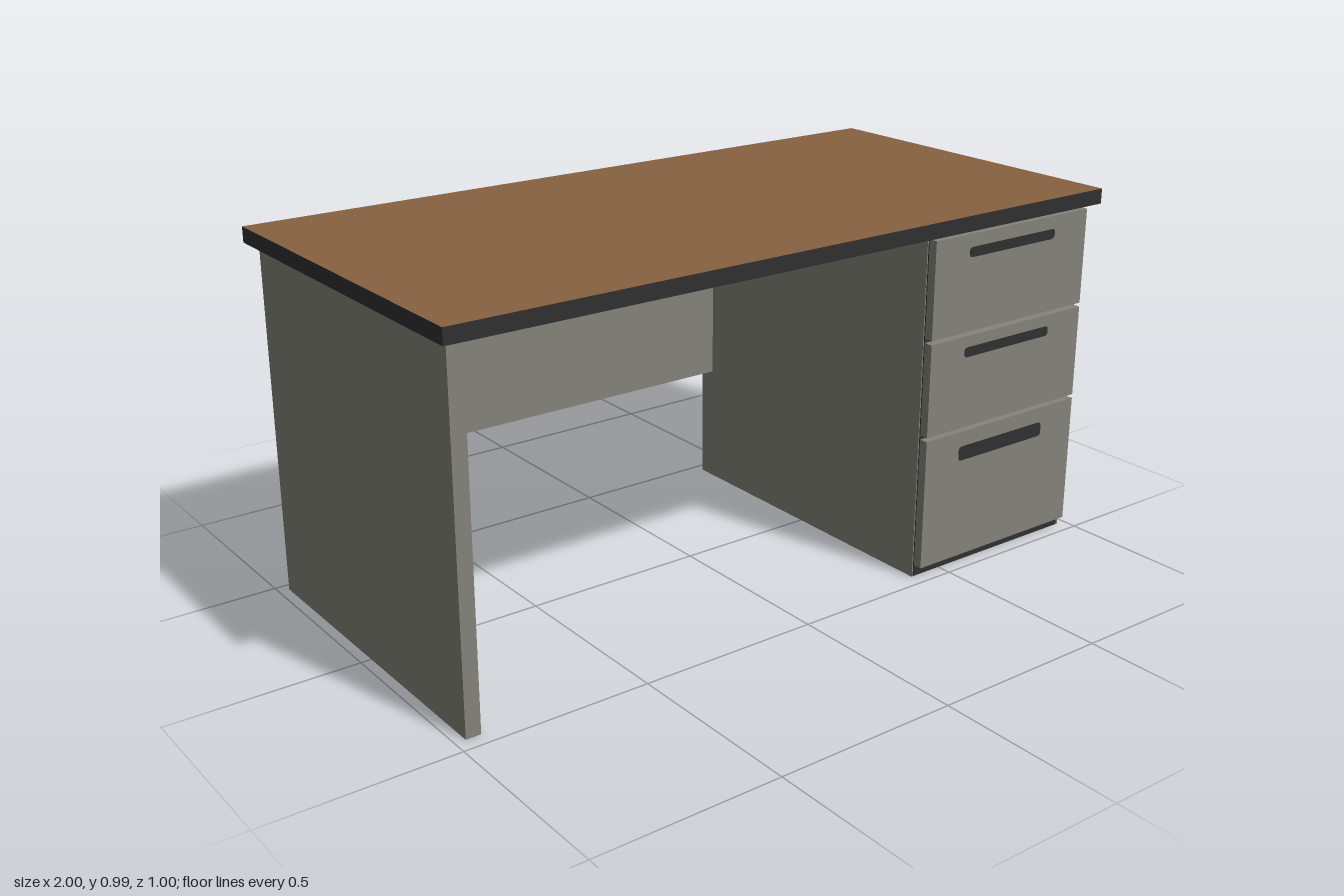
import * as THREE from 'three';

export function createModel() {
  const desk = new THREE.Group();
  desk.name = 'desk';

  const mat = (name, color) => {
    const m = new THREE.MeshStandardMaterial({ color });
    m.name = name;
    return m;
  };
  const grey = mat('greyMetal', 0x84847b);
  const dark = mat('darkTrim', 0x303031);
  const wood = mat('brownWood', 0x866140);

  // Box given by its limits on each axis
  const slab = (name, material, [x0, x1], [y0, y1], [z0, z1], parent = desk) => {
    const mesh = new THREE.Mesh(new THREE.BoxGeometry(x1 - x0, y1 - y0, z1 - z0), material);
    mesh.position.set((x0 + x1) / 2, (y0 + y1) / 2, (z0 + z1) / 2);
    mesh.name = name;
    parent.add(mesh);
  };

  // Two thin sheet side walls and a back wall, open underneath
  const wall = 0.003, ys = [0, 0.947], zs = [-0.472, 0.46];
  const sheetBody = (name, x0, x1) => {
    const body = new THREE.Group();
    body.name = name;
    desk.add(body);
    slab('innerOrOuterWall', grey, [x0, x0 + wall], ys, zs, body);
    slab('innerOrOuterWall', grey, [x1 - wall, x1], ys, zs, body);
    slab('backWall', grey, [x0 + wall, x1 - wall], ys, [zs[0], zs[0] + wall], body);
    return body;
  };

  // Table top: dark edges, wood upper face, grey underside
  slab('tableTop', [dark, dark, wood, grey, dark, dark], [-1, 1], [0.947, 0.988], [-0.5, 0.5]);

  // Hollow side leg, closed at the front, and the back panel
  const leg = sheetBody('sideLeg', -0.972, -0.932);
  slab('legFront', grey, [-0.969, -0.935], ys, [zs[1] - wall, zs[1]], leg);
  slab('backPanel', grey, [-0.932, 0.401], [0.336, 0.947], [-0.442, -0.422]);

  // Drawer cabinet with a dark front plate
  const cabinet = sheetBody('drawerCabinet', 0.4, 0.972);
  const frontX = [0.407, 0.965];
  slab('cabinetFront', dark, frontX, ys, [0.45, 0.459], cabinet);

  // Pull slot outline with rounded corners
  const slotShape = (w, h, r) => {
    const s = new THREE.Shape();
    s.absarc(w / 2 - r, h / 2 - r, r, 0, Math.PI / 2);
    s.absarc(-w / 2 + r, h / 2 - r, r, Math.PI / 2, Math.PI);
    s.absarc(-w / 2 + r, -h / 2 + r, r, Math.PI, Math.PI * 1.5);
    s.absarc(w / 2 - r, -h / 2 + r, r, Math.PI * 1.5, Math.PI * 2);
    return s;
  };

  // Drawers: bottom, top, pull centre height, pull height
  const drawers = [
    [0.032, 0.395, 0.332, 0.04],
    [0.406, 0.661, 0.616, 0.027],
    [0.672, 0.935, 0.886, 0.027],
  ];
  for (const [y0, y1, pullY, pullH] of drawers) {
    const drawer = new THREE.Group();
    drawer.name = 'drawer';
    cabinet.add(drawer);
    slab('drawerFront', grey, frontX, [y0, y1], [0.459, 0.484], drawer);
    const pull = new THREE.Mesh(
      new THREE.ExtrudeGeometry(slotShape(0.315, pullH, 0.01),
        { depth: 0.004, bevelEnabled: false, curveSegments: 4 }), dark);
    pull.position.set(0.685, pullY, 0.481);
    pull.name = 'drawerPull';
    drawer.add(pull);
  }
  return desk;
}
